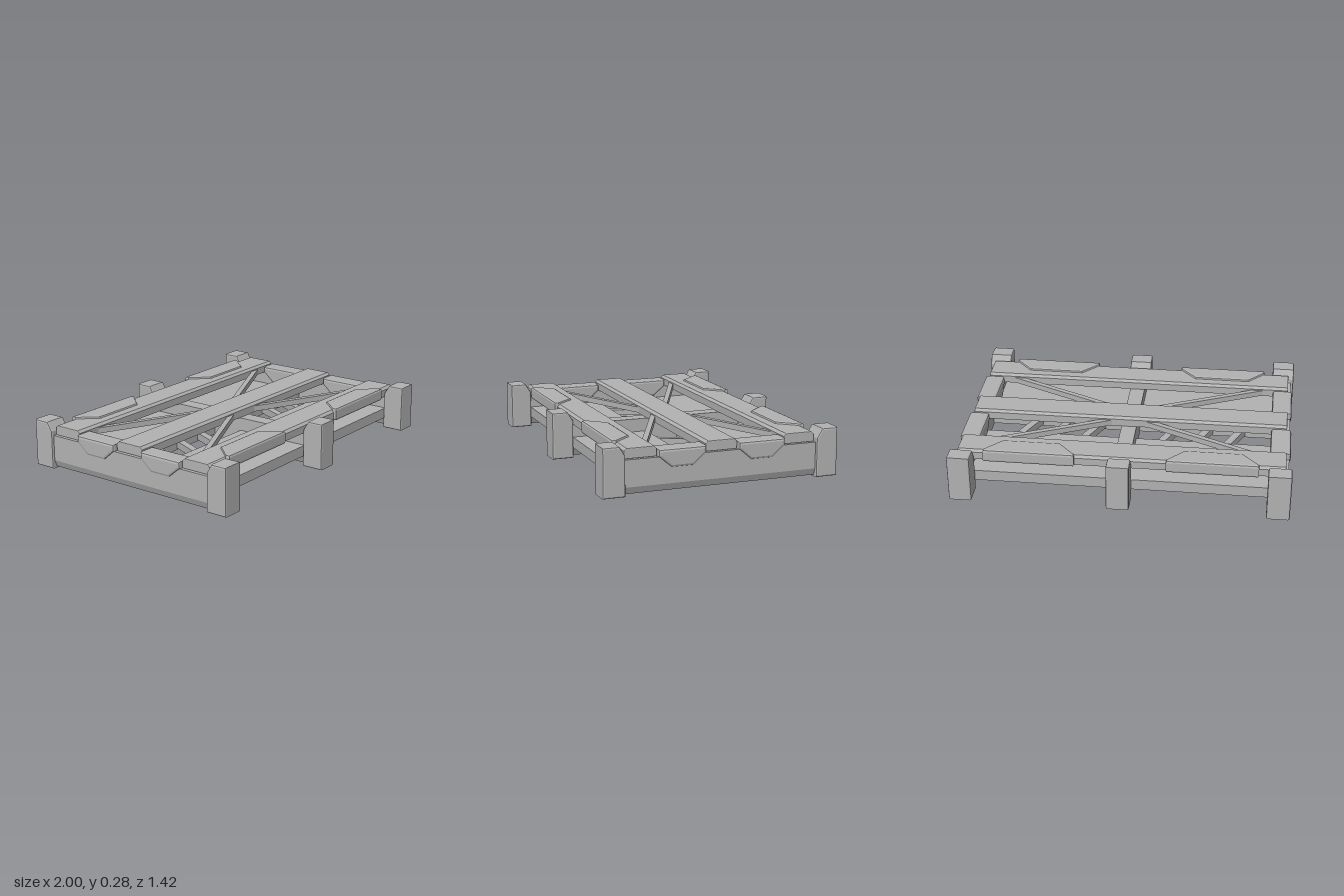
import * as THREE from 'three';

const grey = new THREE.MeshStandardMaterial({ color: 0xb2b2b2 });
grey.name = 'plain grey';

// Bevelled extrusion that stays inside the given outline and depth
function slab(points, depth, bevel) {
  const shape = new THREE.Shape(points.map(([a, b]) => new THREE.Vector2(a, b)));
  const geo = new THREE.ExtrudeGeometry(shape, {
    depth: depth - 2 * bevel, bevelEnabled: true, bevelSegments: 2,
    bevelSize: bevel, bevelThickness: bevel, bevelOffset: -bevel,
  });
  return geo.translate(0, 0, bevel);
}

// Outline in (z, y), swept along x
function alongX(points, x0, x1, bevel) {
  return slab(points.map(([z, y]) => [-z, y]), x1 - x0, bevel)
    .rotateY(Math.PI / 2).translate(x0, 0, 0);
}

// Outline in (x, y), swept along z
function alongZ(points, z0, z1, bevel) {
  return slab(points, z1 - z0, bevel).translate(0, 0, z0);
}

// Outline in (x, z), swept up y
function alongY(points, y0, y1, bevel) {
  return slab(points.map(([x, z]) => [x, -z]), y1 - y0, bevel)
    .rotateX(-Math.PI / 2).translate(0, y0, 0);
}

export function createModel() {
  const model = new THREE.Group();
  model.name = 'platform';
  const add = (name, geo, parent = model) => {
    const mesh = new THREE.Mesh(geo, grey);
    mesh.name = name;
    parent.add(mesh);
    return mesh;
  };

  // Three long top planks with chamfered upper edges
  for (const z of [-0.48, 0, 0.48]) {
    const w = 0.095;
    add('topPlank', alongX([
      [z - w, 0.205], [z + w, 0.205], [z + w, 0.25], [z + w - 0.015, 0.265],
      [z - w + 0.015, 0.265], [z - w, 0.25],
    ], -0.965, 0.965, 0.005));
  }

  // Cross beams at the ends and the middle, tapered underneath
  for (const x of [-0.937, 0, 0.937]) {
    add('crossBeam', alongZ([
      [x - 0.03, 0.01], [x + 0.03, 0.01], [x + 0.046, 0.05], [x + 0.046, 0.205],
      [x - 0.046, 0.205], [x - 0.046, 0.05],
    ], -0.58, 0.58, 0.003));
  }

  // Each half is the other turned about the vertical axis
  for (const turn of [0, Math.PI]) {
    const half = new THREE.Group();
    half.name = turn ? 'backHalf' : 'frontHalf';
    half.rotation.y = turn;
    model.add(half);

    // Wide lower deck board
    add('lowerBoard', alongX([[0.1, 0.06], [0.575, 0.06], [0.575, 0.125], [0.1, 0.125]],
      -0.95, 0.95, 0.008), half);

    // Posts, cut away at the inner top edge
    for (const x of [-0.932, 0, 0.932]) {
      add('post', alongX([
        [0.578, 0], [0.71, 0], [0.71, 0.285], [0.612, 0.285], [0.578, 0.23],
      ], x - 0.068, x + 0.068, 0.01), half);
    }

    for (const s of [-1, 1]) {
      // Tapered bumpers on the long edge
      const x = s * 0.54;
      add('sideBumper', alongY([
        [x - 0.27, 0.592], [x - 0.27, 0.565], [x - 0.17, 0.455],
        [x + 0.17, 0.455], [x + 0.27, 0.565], [x + 0.27, 0.592],
      ], 0.198, 0.278, 0.014), half);

      // Bumpers over the end beams
      add('endBumper', alongX([
        [0.1, 0.245], [0.1, 0.205], [0.175, 0.14], [0.305, 0.14],
        [0.382, 0.205], [0.382, 0.245],
      ], s * 0.93 - 0.061, s * 0.93 + 0.061, 0.014), half);

      // Diagonal braces between the planks
      const a = new THREE.Vector2(s * 0.08, 0.065), b = new THREE.Vector2(s * 0.82, 0.41);
      const d = b.clone().sub(a);
      const brace = add('brace', new THREE.BoxGeometry(d.length(), 0.035, 0.032), half);
      brace.position.set((a.x + b.x) / 2, 0.225, (a.y + b.y) / 2);
      brace.rotation.y = -Math.atan2(d.y, d.x);
    }
  }

  // Slanted slats bridging the lower boards
  for (const x of [-0.64, -0.44, -0.24, 0.24, 0.44, 0.64]) {
    const slat = add('slat', new THREE.BoxGeometry(0.045, 0.045, 0.26));
    slat.position.set(x, 0.092, 0);
    slat.rotation.y = -0.42;
  }

  return model;
}
